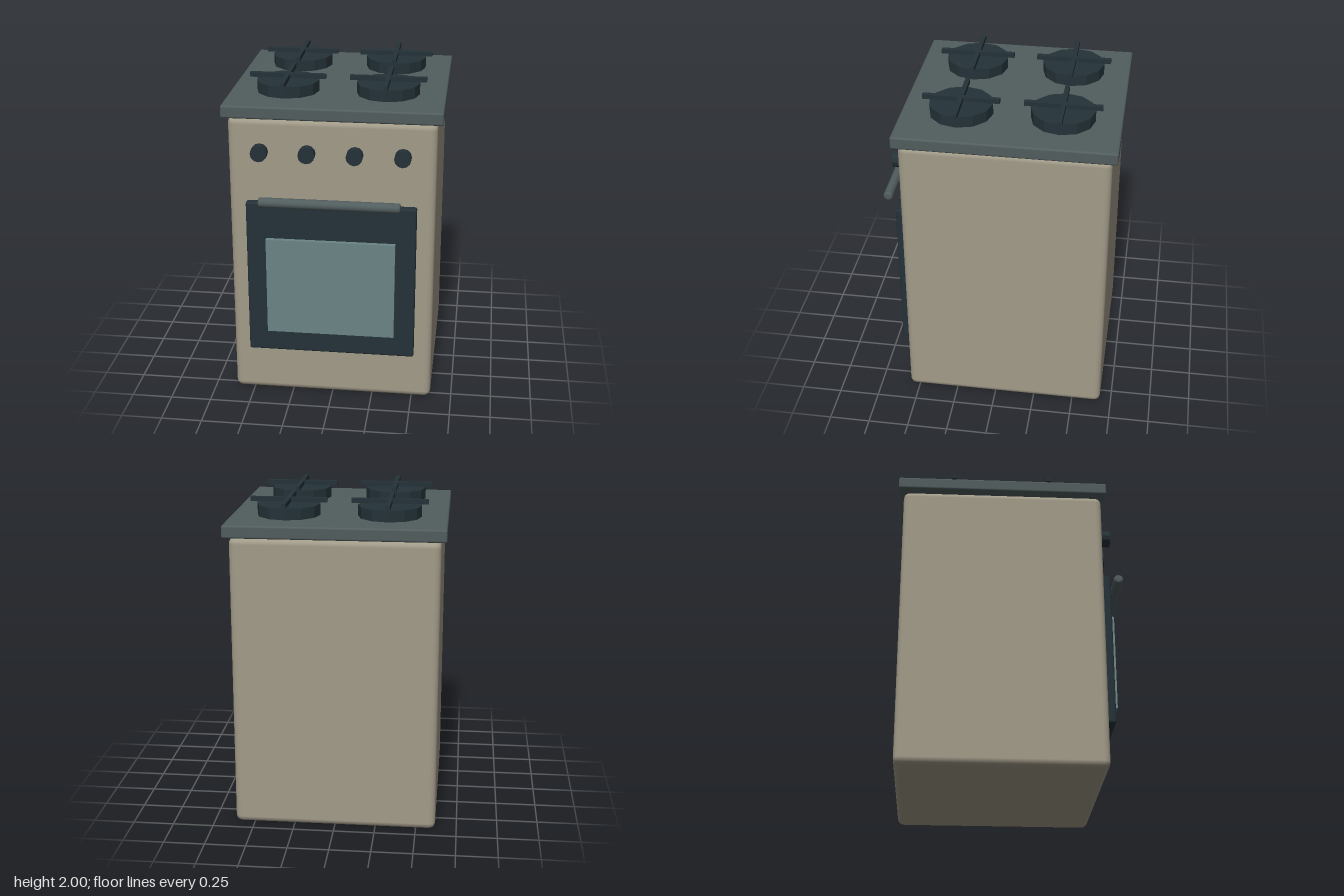
import * as THREE from 'three';
import { RoundedBoxGeometry } from 'three/addons/geometries/RoundedBoxGeometry.js';

const mat = (color, flatShading = false) => new THREE.MeshStandardMaterial({ color, flatShading });

export function createModel() {
  const stove = new THREE.Group();
  stove.name = 'stove';
  const enamel = mat(0xa29b89), steel = mat(0x515d5e), glass = mat(0x6b8484);
  const iron = mat(0x243238, true), doorIron = mat(0x243238);

  const add = (name, geometry, material, x, y, z, parent = stove) => {
    const mesh = new THREE.Mesh(geometry, material);
    mesh.name = name;
    mesh.position.set(x, y, z);
    parent.add(mesh);
    return mesh;
  };

  // Cabinet and overhanging cooktop
  add('body', new RoundedBoxGeometry(1.24, 1.805, 1.245, 2, 0.04), enamel, 0, 0.9075, -0.058);
  add('cooktop', new RoundedBoxGeometry(1.304, 0.077, 1.308, 2, 0.012), steel, 0, 1.8515, -0.059);

  // Oven door with raised window
  add('ovenDoor', new RoundedBoxGeometry(1.024, 0.982, 0.056, 2, 0.012), doorIron, 0, 0.81, 0.593);
  add('ovenWindow', new THREE.BoxGeometry(0.78, 0.615, 0.04), glass, 0, 0.77, 0.63);

  // Bar handle with bevelled ends
  const L = 0.421, r = 0.03, b = 0.012;
  const profile = [[0, -L], [r - b, -L], [r - b * 0.3, -L + b * 0.3], [r, -L + b],
    [r, L - b], [r - b * 0.3, L - b * 0.3], [r - b, L], [0, L]];
  const handle = add('doorHandle',
    new THREE.LatheGeometry(profile.map(([x, y]) => new THREE.Vector2(x, y)), 16),
    steel, 0, 1.333, 0.686);
  handle.rotation.z = Math.PI / 2;

  // Row of control knobs
  for (let i = 0; i < 4; i++) {
    const knob = add('knob' + (i + 1), new THREE.CylinderGeometry(0.05, 0.05, 0.054, 12), iron,
      -0.424 + i * 0.2825, 1.614, 0.607);
    knob.rotation.x = Math.PI / 2;
  }

  // Four burners, each with a crossed pan support
  for (const x of [-0.303, 0.303]) {
    for (const z of [-0.365, 0.238]) {
      const burner = new THREE.Group();
      burner.name = 'burner';
      burner.position.set(x, 0, z);
      stove.add(burner);
      add('burnerCap', new THREE.CylinderGeometry(0.19, 0.19, 0.068, 12), iron, 0, 1.929, 0, burner);
      add('supportBarX', new THREE.BoxGeometry(0.46, 0.028, 0.028), iron, 0, 1.986, 0, burner);
      add('supportBarZ', new THREE.BoxGeometry(0.028, 0.028, 0.46), iron, 0, 1.986, 0, burner);
    }
  }
  return stove;
}
